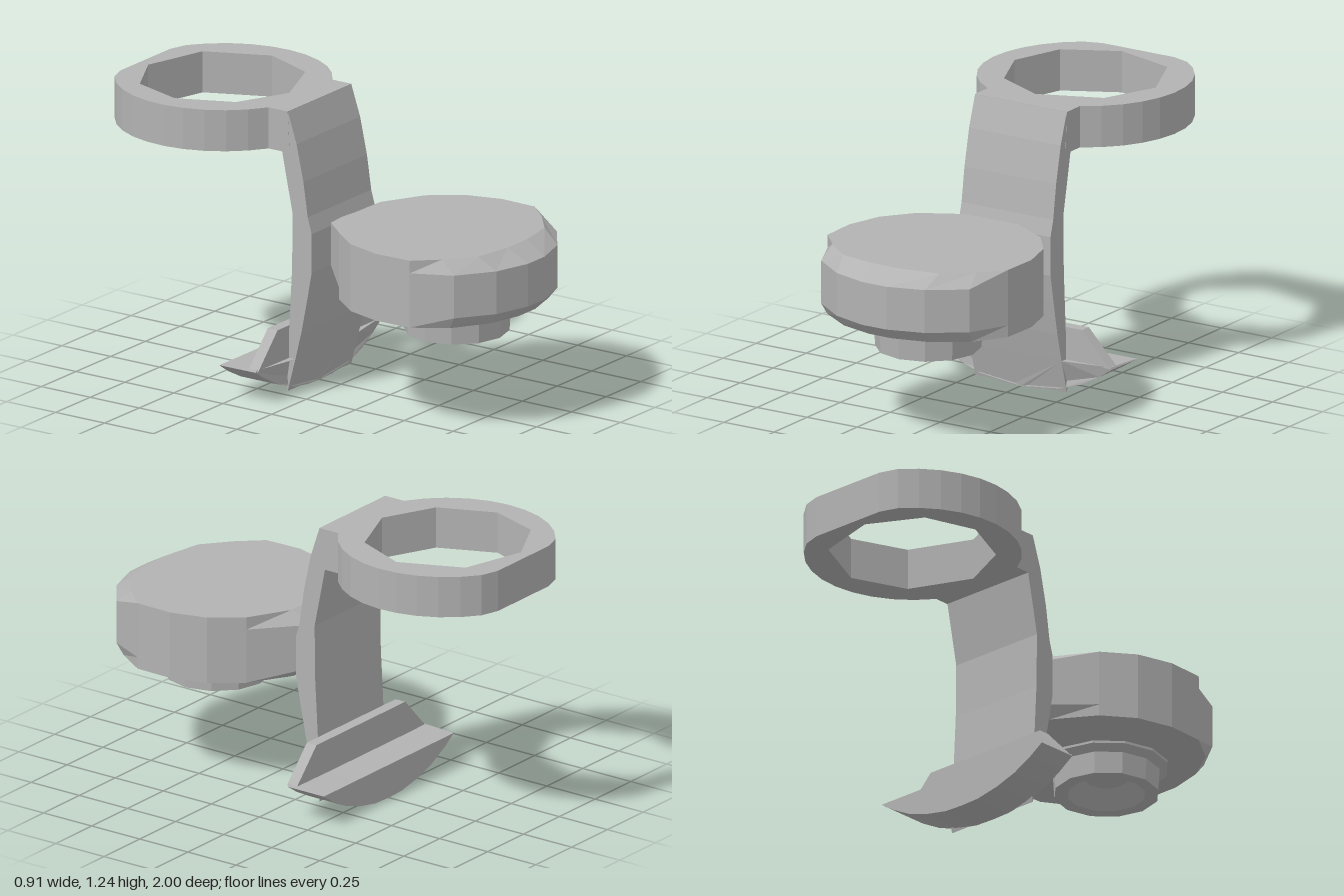
import * as THREE from 'three';

export function createModel() {
  const model = new THREE.Group();
  const grey = new THREE.MeshStandardMaterial({ color: 0xb2b2b2, flatShading: true });
  grey.name = 'plain grey';

  const add = (name, geometry) => {
    const mesh = new THREE.Mesh(geometry, grey);
    mesh.name = name;
    model.add(mesh);
    return mesh;
  };
  const shapeOf = (pts) => new THREE.Shape(pts.map(([x, y]) => new THREE.Vector2(x, y)));
  const extrude = (shape, depth) => new THREE.ExtrudeGeometry(shape, { depth, bevelEnabled: false });
  // Completes a half outline by mirroring it over x = 0
  const mirrored = (half) => [
    ...half,
    ...half.slice().reverse().filter(([x]) => x > 0).map(([x, y]) => [-x, y]),
  ];

  // Upper ring: round outside cut flat at the back, with a neck and an eight-sided hole
  const outline = [[-0.23, -0.11], [0.23, -0.11]];
  const start = 0.53, steps = 26;
  for (let i = 0; i <= steps; i++) {
    const a = start + (i / steps) * (2 * Math.PI - 2 * start);
    outline.push([0.455 * Math.sin(a), Math.max(-1, -0.6 + 0.455 * Math.cos(a))]);
  }
  const ringShape = shapeOf(outline);
  ringShape.holes.push(shapeOf([
    [-0.05, -0.95], [0.23, -0.87], [0.35, -0.6], [0.25, -0.36],
    [-0.02, -0.25], [-0.25, -0.36], [-0.355, -0.6], [-0.28, -0.83],
  ]));
  const ring = extrude(ringShape, 0.18);
  ring.rotateX(Math.PI / 2).translate(0, 1.235, 0);
  // The neck's front follows the slope of the strap
  const rp = ring.attributes.position;
  for (let i = 0; i < rp.count; i++) {
    if (rp.getZ(i) > -0.12 && rp.getY(i) < 1.1) rp.setZ(i, -0.1);
  }
  add('upperRing', ring);

  // Curved upright strap, side profile as [z, y]
  const strap = extrude(shapeOf([
    [-0.11, 1.234], [-0.065, 1.1], [-0.03, 0.94], [-0.008, 0.79], [0.012, 0.72],
    [0.012, 0.55], [-0.01, 0.43], [-0.04, 0.28], [-0.07, 0.16], [-0.11, 0.01],
    [-0.14, 0.1], [-0.11, 0.16], [-0.1, 0.33], [-0.088, 0.55], [-0.085, 0.79], [-0.14, 1.06],
  ]), 0.458);
  strap.rotateY(-Math.PI / 2).translate(0.229, 0, 0);
  add('uprightStrap', strap);

  // Foot: curved underside, front face leaning forward in the middle
  const foot = extrude(shapeOf(mirrored([
    [0, 0], [0.09, 0.003], [0.2, 0.024], [0.3, 0.057], [0.39, 0.104], [0.455, 0.148], [0.45, 0.157], [0.229, 0.157],
  ])), 0.19);
  foot.translate(0, 0, -0.3);
  const fp = foot.attributes.position;
  for (let i = 0; i < fp.count; i++) {
    const x = Math.abs(fp.getX(i)), y = fp.getY(i);
    if (fp.getZ(i) > -0.2) fp.setZ(i, -0.11 + 0.25 * y - 0.18 * Math.max(0, x - 0.23));
    else fp.setY(i, Math.min(y, 0.147));
  }
  add('foot', foot);

  // Tapered plate above the foot
  const plate = extrude(shapeOf([[-0.45, 0.15], [0.45, 0.15], [0.31, 0.298], [-0.31, 0.298]]), 0.05);
  plate.translate(0, 0, -0.155);
  add('footPlate', plate);

  // Front disc: chamfered at its front and narrowing to a point at the strap
  const wide = [
    [0, -0.005], [0.08, 0.005], [0.31, 0.21], [0.41, 0.34], [0.455, 0.5],
    [0.45, 0.67], [0.37, 0.84], [0.22, 0.95], [0.06, 0.998],
  ];
  const topHalf = wide.map((p) => [...p]);
  topHalf[0] = [0, 0.11];
  topHalf[1] = [0.13, 0.11];
  topHalf[6] = [0.36, 0.77];
  topHalf[7] = [0.24, 0.87];
  topHalf[8] = [0.07, 0.9];
  const bottomHalf = wide.map((p) => [...p]);
  bottomHalf[0] = [0, 0.1];
  bottomHalf[1] = [0.13, 0.1];
  bottomHalf[6] = [0.36, 0.81];
  bottomHalf[7] = [0.21, 0.91];
  bottomHalf[8] = [0.06, 0.95];
  const levels = [[bottomHalf, 0.492], [wide, 0.543], [wide, 0.73], [topHalf, 0.785]];
  const positions = [], index = [];
  let n = 0;
  for (const [half, y] of levels) {
    const loop = mirrored(half);
    n = loop.length;
    for (const [x, z] of loop) positions.push(x, y, z);
  }
  for (let k = 0; k < levels.length - 1; k++) {
    for (let i = 0; i < n; i++) {
      const a = k * n + i, b = k * n + ((i + 1) % n);
      index.push(a, a + n, b, b, a + n, b + n);
    }
  }
  const topStart = 3 * n;
  positions.push(0, 0.478, 0.59, 0, 0.785, 0.55);
  for (let i = 0; i < n; i++) {
    const j = (i + 1) % n;
    index.push(4 * n, i, j, 4 * n + 1, topStart + j, topStart + i);
  }
  const disc = new THREE.BufferGeometry();
  disc.setAttribute('position', new THREE.Float32BufferAttribute(positions, 3));
  disc.setIndex(index);
  disc.computeVertexNormals();
  add('frontDisc', disc);

  // Hollow cup under the disc, with a tapered recess
  const cup = new THREE.LatheGeometry([
    [0, 0.425], [0.09, 0.425], [0.165, 0.355], [0.222, 0.355],
    [0.228, 0.45], [0.262, 0.475], [0.262, 0.49],
  ].map(([r, y]) => new THREE.Vector2(r, y)), 12);
  cup.translate(0, 0, 0.59);
  add('lowerCup', cup);

  return model;
}
